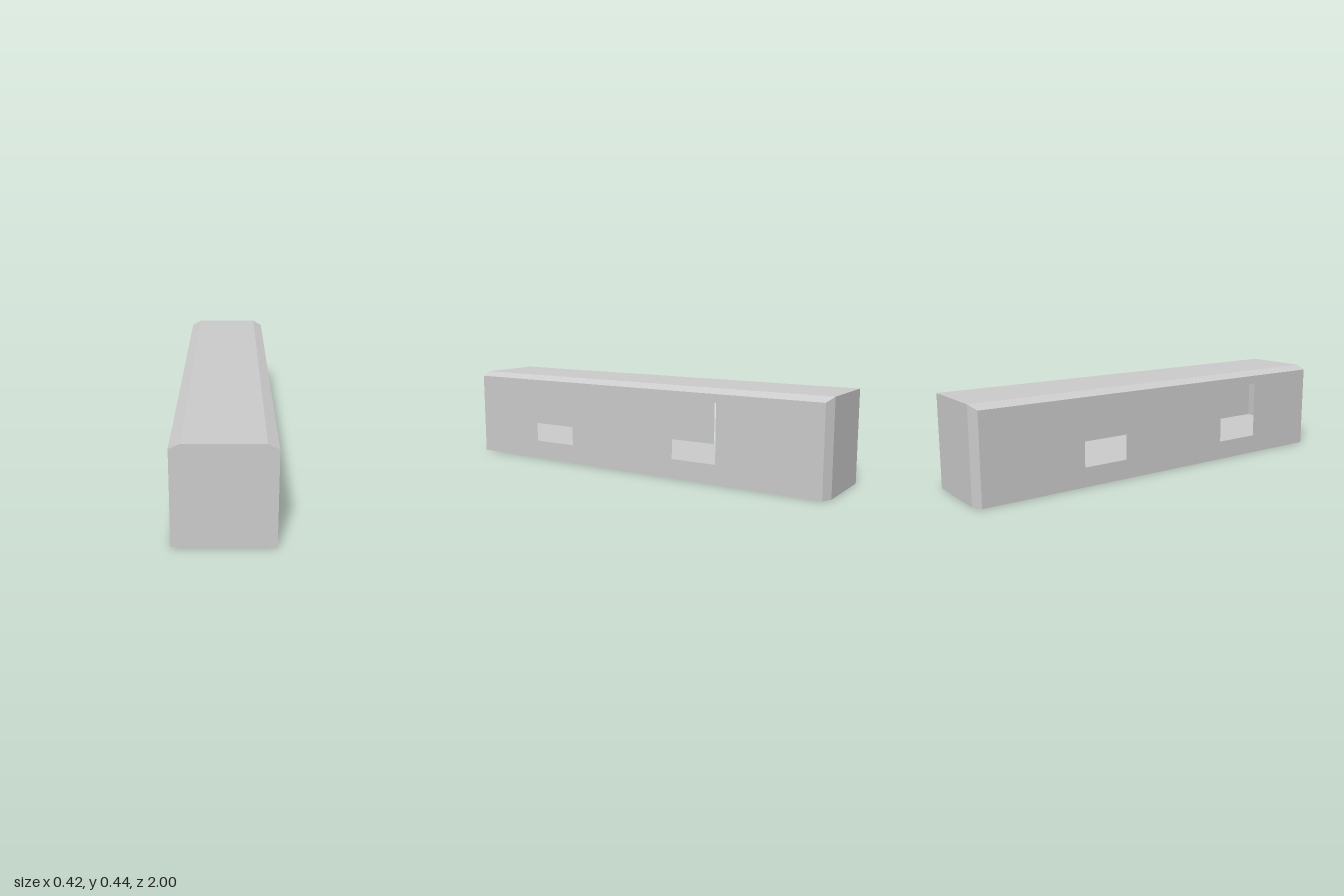
import * as THREE from 'three';

const W = 0.212, TW = 0.165;        // half width of walls, half width of flat roof / back panel
const EAVE = 0.421, TOP = 0.443;    // wall height, roof height
const FRONT = 1, BACK = -1, CORNER = -0.976;
const SILL = 0.094, HEAD = 0.38;    // window bottom and top
const WINDOWS = [[0.372, 0.612], [-0.463, -0.23]];

const material = new THREE.MeshStandardMaterial({
  color: 0xcccccc, flatShading: true, side: THREE.DoubleSide,
});

// Flat convex panel from its corners, counter-clockwise seen from outside
function panel(name, corners) {
  const geometry = new THREE.BufferGeometry();
  geometry.setAttribute('position', new THREE.Float32BufferAttribute(corners.flat(), 3));
  const index = [];
  for (let i = 1; i < corners.length - 1; i++) index.push(0, i, i + 1);
  geometry.setIndex(index);
  geometry.computeVertexNormals();
  const mesh = new THREE.Mesh(geometry, material);
  mesh.name = name;
  return mesh;
}

// Rectangle in the wall's own plane
function rectangle(target, x0, x1, y0, y1) {
  target.moveTo(x0, y0);
  target.lineTo(x1, y0);
  target.lineTo(x1, y1);
  target.lineTo(x0, y1);
  target.closePath();
  return target;
}

// Thin side wall with two open windows; s = 1 is the left (+x) wall
function sideWall(s) {
  const shape = rectangle(new THREE.Shape(), -s * FRONT, -s * CORNER, 0, EAVE);
  for (const [a, b] of WINDOWS) {
    shape.holes.push(rectangle(new THREE.Path(), -s * a, -s * b, SILL, HEAD));
  }
  const geometry = new THREE.ShapeGeometry(shape);
  geometry.rotateY(s * Math.PI / 2);
  geometry.translate(s * W, 0, 0);
  const mesh = new THREE.Mesh(geometry, material);
  mesh.name = s > 0 ? 'leftWall' : 'rightWall';
  return mesh;
}

// Horizontal outline with the two cut back corners
function deck(name, y, facingUp) {
  const outline = [
    [-W, y, FRONT], [W, y, FRONT], [W, y, CORNER],
    [TW, y, BACK], [-TW, y, BACK], [-W, y, CORNER],
  ];
  return panel(name, facingUp ? outline : outline.reverse());
}

export function createModel() {
  const group = new THREE.Group();
  group.name = 'carriageBody';

  // Decks
  group.add(deck('underside', 0, false), deck('floor', SILL, true));

  // Roof and ends
  group.add(
    panel('roof', [[-TW, TOP, FRONT], [TW, TOP, FRONT], [TW, TOP, BACK], [-TW, TOP, BACK]]),
    panel('frontEnd', [
      [-W, 0, FRONT], [W, 0, FRONT], [W, EAVE, FRONT],
      [TW, TOP, FRONT], [-TW, TOP, FRONT], [-W, EAVE, FRONT],
    ]),
    panel('backEnd', [[TW, 0, BACK], [-TW, 0, BACK], [-TW, TOP, BACK], [TW, TOP, BACK]]),
  );

  // Mirrored walls, sloping roof edges and cut back corners
  for (const s of [1, -1]) {
    const order = (corners) => (s > 0 ? corners : corners.reverse());
    const side = s > 0 ? 'left' : 'right';
    group.add(
      sideWall(s),
      panel(side + 'RoofEdge', order([
        [s * W, EAVE, FRONT], [s * W, EAVE, CORNER], [s * TW, TOP, BACK], [s * TW, TOP, FRONT],
      ])),
      panel(side + 'BackCorner', order([
        [s * W, 0, CORNER], [s * TW, 0, BACK], [s * TW, TOP, BACK], [s * W, EAVE, CORNER],
      ])),
    );
  }
  return group;
}
